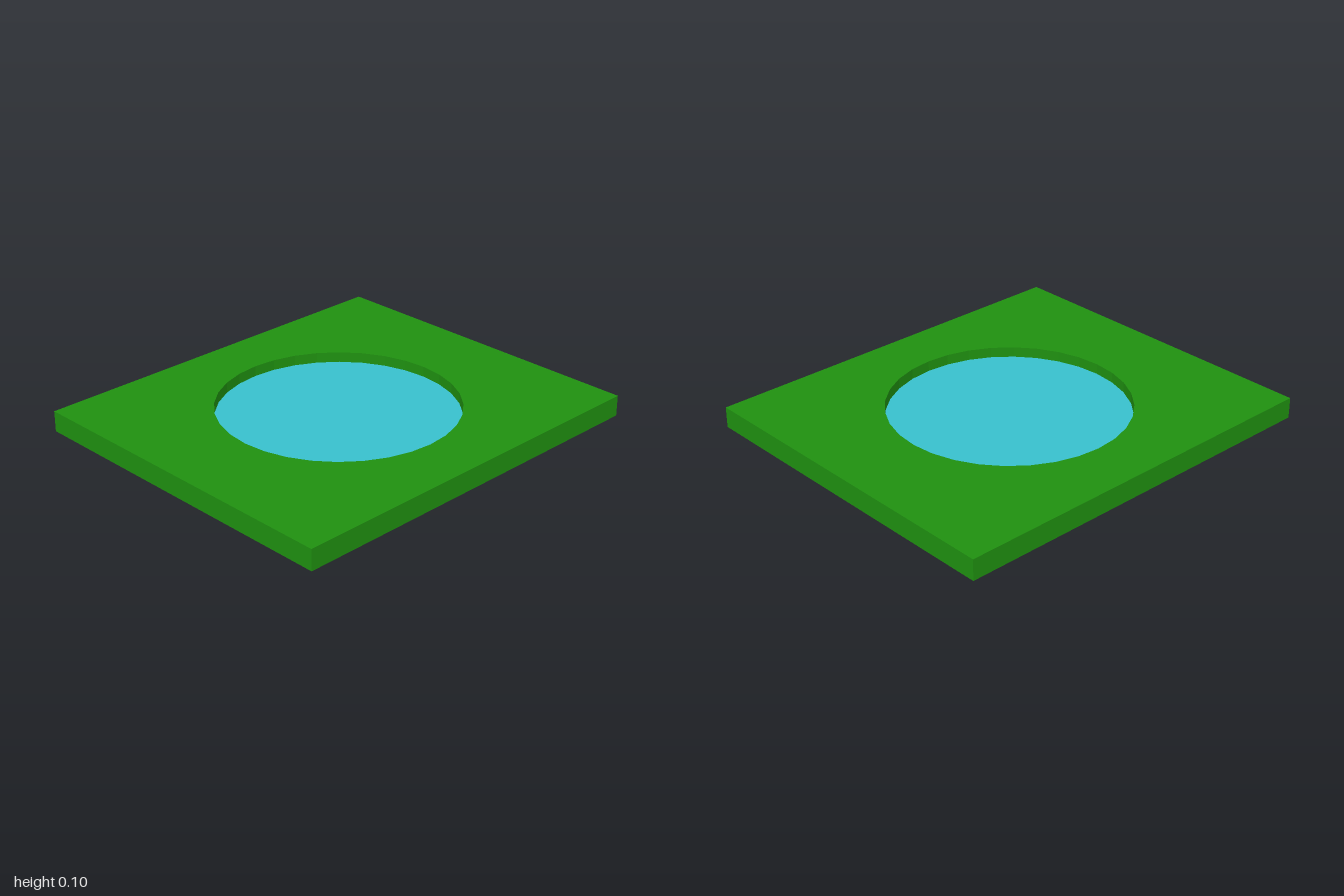
import * as THREE from 'three';

const HALF_W = 0.865, HALF_D = 1, THICK = 0.104, RADIUS = 0.584, SIDES = 32;

export function createModel() {
  const model = new THREE.Group();
  model.name = 'pondTile';

  // Rectangular slab with a 32-sided hole right through it
  const outline = new THREE.Shape([
    new THREE.Vector2(-HALF_W, -HALF_D),
    new THREE.Vector2(HALF_W, -HALF_D),
    new THREE.Vector2(HALF_W, HALF_D),
    new THREE.Vector2(-HALF_W, HALF_D),
  ]);
  const rim = Array.from({ length: SIDES }, (_, i) => {
    const a = (-i / SIDES) * Math.PI * 2;
    return new THREE.Vector2(RADIUS * Math.cos(a), RADIUS * Math.sin(a));
  });
  outline.holes.push(new THREE.Path(rim));
  const slabGeometry = new THREE.ExtrudeGeometry(outline, { depth: THICK, bevelEnabled: false });
  slabGeometry.rotateX(-Math.PI / 2);
  const slab = new THREE.Mesh(
    slabGeometry,
    new THREE.MeshStandardMaterial({ color: 0x1f9010, flatShading: true })
  );
  slab.name = 'grassSlab';
  model.add(slab);

  // Thin water sheet halfway down the hole, seen from both sides
  const water = new THREE.Mesh(
    new THREE.CircleGeometry(RADIUS, SIDES).rotateX(-Math.PI / 2),
    new THREE.MeshStandardMaterial({ color: 0x38bfcc, side: THREE.DoubleSide })
  );
  water.name = 'waterSurface';
  water.position.y = THICK / 2;
  model.add(water);

  return model;
}
